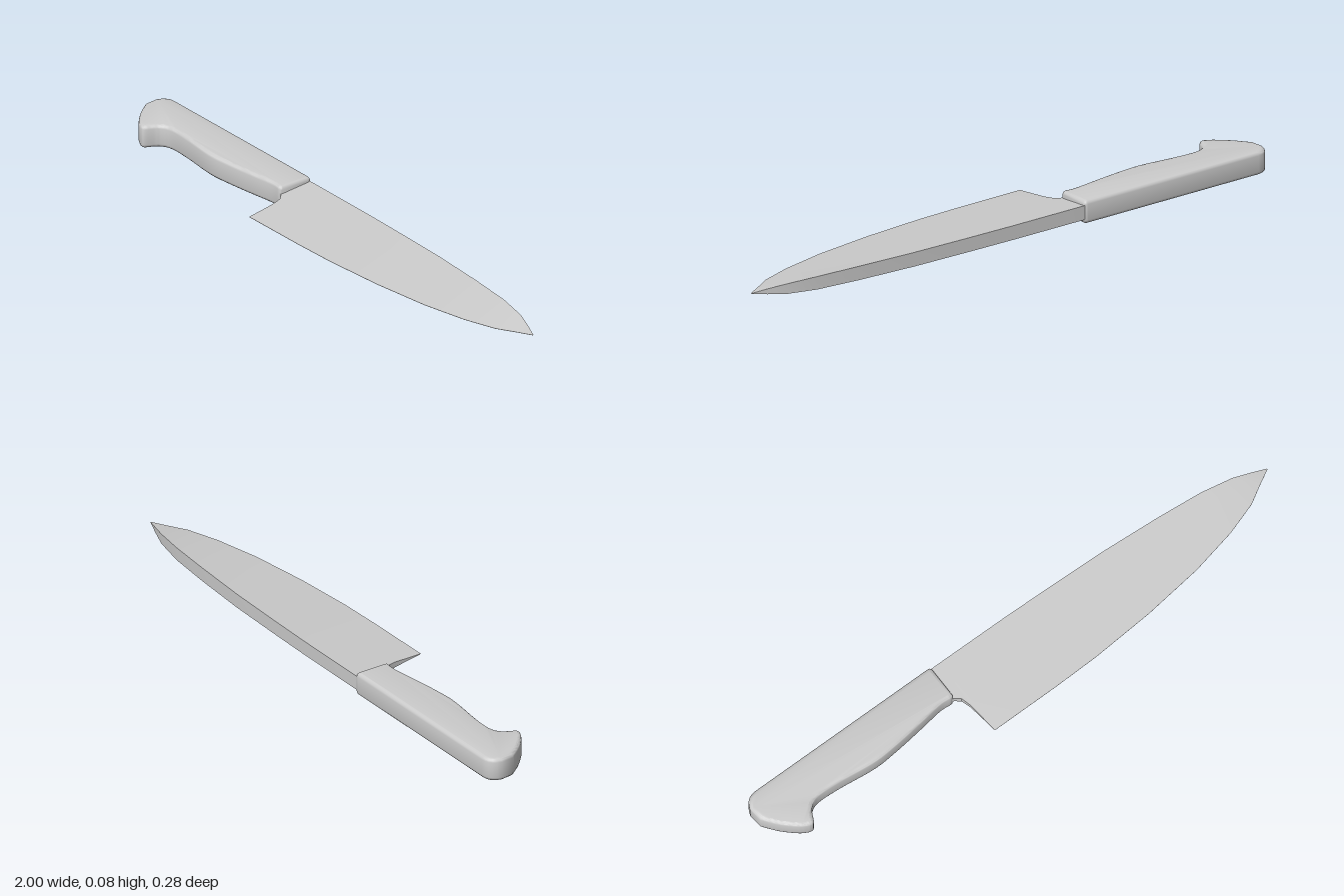
import * as THREE from 'three';
import { toCreasedNormals } from 'three/addons/utils/BufferGeometryUtils.js';

const MID = 0.039; // height of the knife's middle plane

// Handle: outline in x/z, extruded through y with rounded edges
function handleGeometry() {
  const s = new THREE.Shape();
  const v = (pts) => pts.map(([x, z]) => new THREE.Vector2(x, z));
  s.moveTo(-0.95, -0.143);
  s.lineTo(-0.27, -0.143);
  s.quadraticCurveTo(-0.257, -0.143, -0.257, -0.13);
  s.lineTo(-0.257, -0.03);
  s.quadraticCurveTo(-0.257, -0.02, -0.27, -0.02);
  // finger side, down to the pommel hook
  s.splineThru(v([[-0.31, -0.022], [-0.395, -0.01], [-0.5, 0.003], [-0.59, 0.008],
    [-0.715, -0.005], [-0.8, -0.008], [-0.838, 0.008], [-0.857, 0.04]]));
  s.quadraticCurveTo(-0.864, 0.06, -0.88, 0.055);
  // pommel
  s.splineThru(v([[-0.91, 0.038], [-0.957, -0.006], [-0.995, -0.055]]));
  s.lineTo(-1, -0.1);
  s.quadraticCurveTo(-0.99, -0.143, -0.95, -0.143);

  const bevel = 0.012;
  const geo = new THREE.ExtrudeGeometry(s, {
    depth: 2 * MID - 2 * bevel, curveSegments: 5,
    bevelEnabled: true, bevelSize: bevel, bevelThickness: bevel, bevelOffset: -bevel, bevelSegments: 3,
  });
  geo.translate(0, 0, bevel - MID);
  geo.rotateX(Math.PI / 2);
  geo.translate(0, MID, 0);
  return toCreasedNormals(geo, 0.7);
}

// Blade: wedge cross-sections [x, spine z, edge z, spine half thickness, edge half thickness]
function bladeGeometry() {
  const t = 0.0005;
  const sections = [
    [-0.29, -0.139, -0.025, 0.024, 0.0142],
    [-0.257, -0.139, -0.02, 0.024, 0.0138],
    [-0.238, -0.139, -0.005, 0.024, 0.0125],
    [-0.228, -0.139, 0.03, 0.024, 0.0095],
    [-0.223, -0.139, 0.07, 0.024, 0.006],
    [-0.215, -0.139, 0.14, 0.024, t],
    [0.03, -0.138, 0.139, 0.024, t],
    [0.19, -0.135, 0.135, 0.024, t],
    [0.41, -0.129, 0.119, 0.024, t],
    [0.62, -0.116, 0.092, 0.0235, t],
    [0.78, -0.102, 0.057, 0.022, t],
    [0.89, -0.083, 0.02, 0.017, t],
    [0.95, -0.064, -0.016, 0.009, t],
    [1, -0.047, -0.044, t, t],
  ];
  const pos = [], index = [];
  for (const [x, zs, ze, hs, he] of sections) {
    pos.push(x, MID + hs, zs, x, MID + he, ze, x, MID - he, ze, x, MID - hs, zs);
  }
  for (let i = 0; i < sections.length - 1; i++) {
    for (let j = 0; j < 4; j++) {
      const a = i * 4 + j, b = i * 4 + (j + 1) % 4;
      index.push(a, b, b + 4, a, b + 4, a + 4);
    }
  }
  const e = (sections.length - 1) * 4;
  index.push(0, 2, 1, 0, 3, 2, e, e + 1, e + 2, e, e + 2, e + 3);
  const geo = new THREE.BufferGeometry();
  geo.setAttribute('position', new THREE.Float32BufferAttribute(pos, 3));
  geo.setIndex(index);
  return toCreasedNormals(geo, 0.4);
}

export function createModel() {
  const group = new THREE.Group();
  group.name = 'chefKnife';
  const material = new THREE.MeshStandardMaterial({ color: 0xcccccc });
  const add = (name, geo) => {
    const mesh = new THREE.Mesh(geo, material);
    mesh.name = name;
    group.add(mesh);
  };
  add('handle', handleGeometry());
  add('blade', bladeGeometry());
  return group;
}
